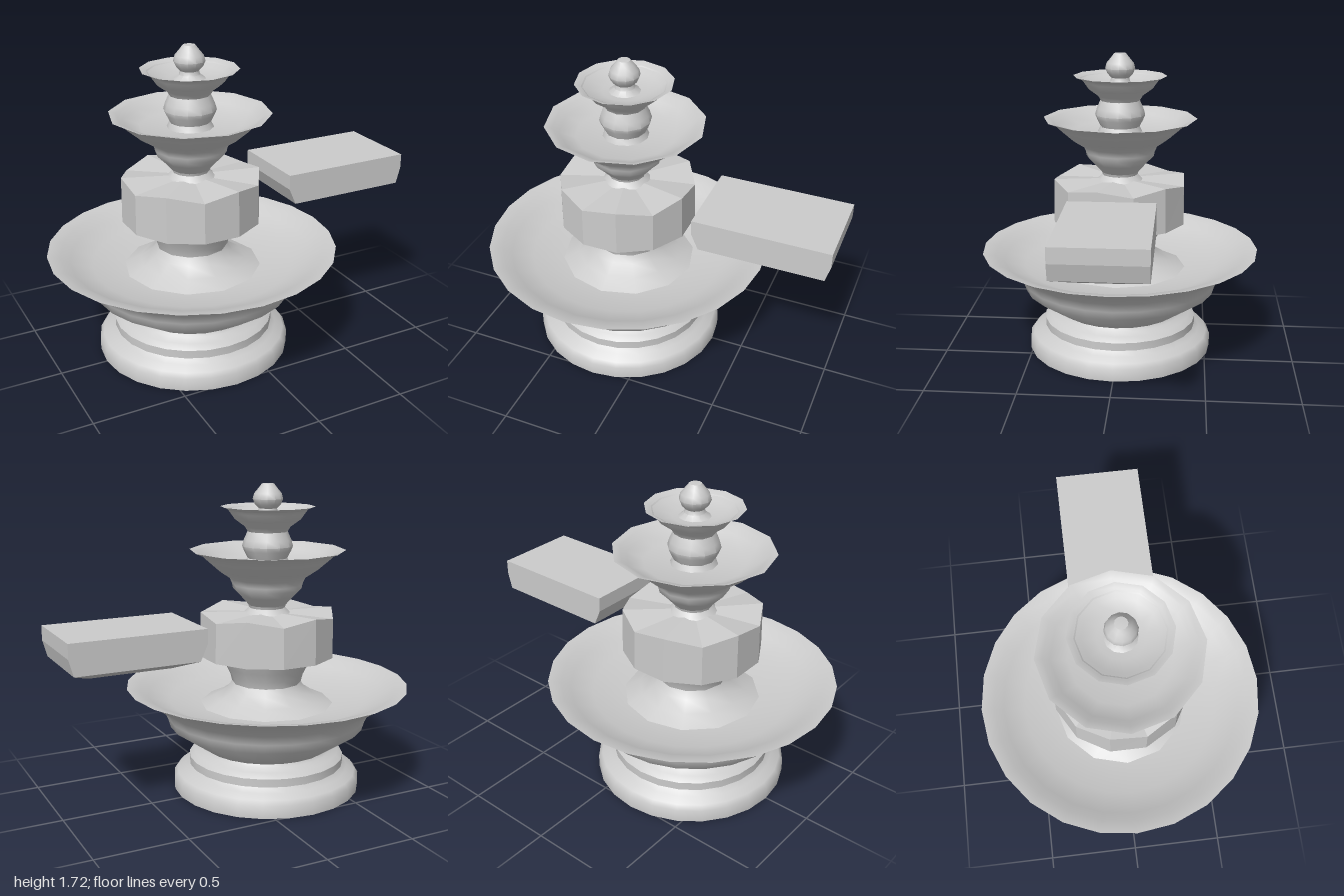
import * as THREE from 'three';
import { toCreasedNormals } from 'three/addons/utils/BufferGeometryUtils.js';

const grey = new THREE.MeshStandardMaterial({ color: 0xcccccc, side: THREE.DoubleSide });
const grayFlat = new THREE.MeshStandardMaterial({ color: 0xcccccc, flatShading: true });

// Turned part from [radius, height] pairs, smooth with sharp rims
function turned(name, sides, profile) {
  const points = profile.map(([r, y]) => new THREE.Vector2(r, y));
  const geometry = toCreasedNormals(new THREE.LatheGeometry(points, sides), 0.75);
  const mesh = new THREE.Mesh(geometry, grey);
  mesh.name = name;
  return mesh;
}

// Twelve-sided drum whose top edge rises and falls
function scallopedDrum() {
  const geometry = new THREE.CylinderGeometry(0.375, 0.378, 0.24, 12, 1, false, Math.PI / 12);
  const p = geometry.attributes.position;
  for (let i = 0; i < p.count; i++) {
    const x = p.getX(i), z = p.getZ(i);
    if (p.getY(i) > 0 && Math.hypot(x, z) > 0.1) {
      const wave = Math.cos(6 * (Math.atan2(x, z) - Math.PI / 12));
      p.setY(i, p.getY(i) - 0.005 + 0.015 * wave);
    }
  }
  const mesh = new THREE.Mesh(geometry, grayFlat);
  mesh.name = 'scallopedDrum';
  mesh.position.y = 0.89;
  return mesh;
}

// Floating block with a rounded belly, shaped layer by layer from a box
function sideBlock() {
  // [left x, right x, half depth, height], top to bottom
  const layers = [
    [0.26, 1.0, 0.235, 1.0],
    [0.26, 1.0, 0.235, 0.92],
    [0.30, 0.975, 0.235, 0.83],
    [0.42, 0.87, 0.13, 0.785],
    [0.57, 0.73, 0.03, 0.767],
  ];
  const geometry = new THREE.BoxGeometry(1, 4, 1, 1, 4, 1);
  const p = geometry.attributes.position;
  for (let i = 0; i < p.count; i++) {
    const [left, right, depth, y] = layers[Math.round(2 - p.getY(i))];
    p.setXYZ(i, p.getX(i) < 0 ? left : right, y, Math.sign(p.getZ(i)) * depth + 0.01);
  }
  const mesh = new THREE.Mesh(geometry, grayFlat);
  mesh.name = 'sideBlock';
  return mesh;
}

export function createModel() {
  const model = new THREE.Group();
  model.name = 'tieredFountain';

  const fountain = new THREE.Group();
  fountain.name = 'fountain';
  fountain.position.x = -0.21;
  fountain.add(
    turned('base', 24, [
      [0, 0], [0.53, 0], [0.53, 0.07], [0.51, 0.095], [0.465, 0.115], [0.44, 0.14],
      [0.44, 0.185], [0.41, 0.21], [0.37, 0.225], [0.36, 0.24],
    ]),
    turned('lowerBasin', 24, [
      [0.36, 0.24], [0.55, 0.37], [0.565, 0.42], [0.59, 0.475], [0.69, 0.545], [0.74, 0.58],
      [0.79, 0.6], [0.72, 0.585], [0.67, 0.55], [0.55, 0.51], [0.36, 0.48], [0, 0.48],
    ]),
    turned('lowerPedestal', 12, [
      [0.375, 0.485], [0.29, 0.525], [0.22, 0.57], [0.195, 0.61], [0.205, 0.65],
      [0.23, 0.7], [0.26, 0.77],
    ]),
    scallopedDrum(),
    turned('middleFoot', 12, [[0.135, 1.0], [0.12, 1.015], [0.1, 1.035], [0.105, 1.05]]),
    turned('middleBasin', 12, [
      [0.105, 1.05], [0.15, 1.1], [0.19, 1.14], [0.195, 1.165], [0.21, 1.2], [0.28, 1.245],
      [0.35, 1.305], [0.38, 1.335], [0.43, 1.355], [0.39, 1.345], [0.355, 1.315],
      [0.27, 1.285], [0, 1.275],
    ]),
    turned('upperPedestal', 12, [
      [0.125, 1.28], [0.11, 1.31], [0.13, 1.35], [0.14, 1.375], [0.13, 1.41], [0.11, 1.455],
    ]),
    turned('upperBasin', 12, [
      [0.11, 1.455], [0.125, 1.48], [0.18, 1.52], [0.205, 1.555], [0.22, 1.575], [0.26, 1.59],
      [0.235, 1.583], [0.19, 1.555], [0.12, 1.54], [0, 1.535],
    ]),
    turned('finial', 12, [
      [0.085, 1.538], [0.055, 1.56], [0.05, 1.58], [0.07, 1.6], [0.083, 1.63], [0.075, 1.66],
      [0.05, 1.69], [0.033, 1.712], [0, 1.715],
    ]),
  );

  model.add(fountain, sideBlock());
  return model;
}
